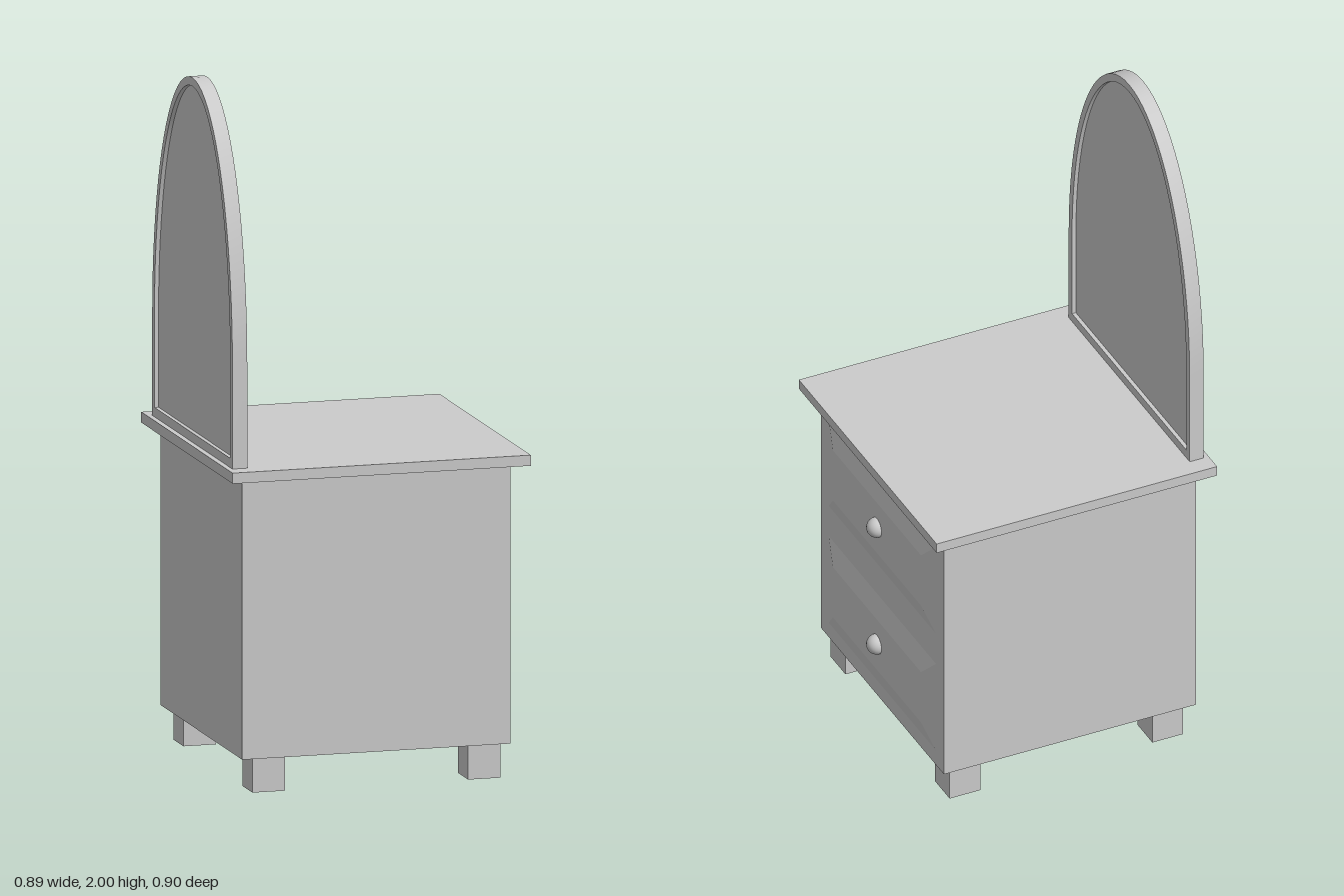
import * as THREE from 'three';
import { toCreasedNormals } from 'three/addons/utils/BufferGeometryUtils.js';

const material = new THREE.MeshStandardMaterial({ color: 0xcccccc });

function add(parent, name, geometry, x = 0, y = 0, z = 0) {
  const mesh = new THREE.Mesh(geometry, material);
  mesh.name = name;
  mesh.position.set(x, y, z);
  parent.add(mesh);
  return mesh;
}

// Box given by its lower and upper corners
function block(parent, name, [x0, y0, z0], [x1, y1, z1]) {
  return add(parent, name, new THREE.BoxGeometry(x1 - x0, y1 - y0, z1 - z0),
    (x0 + x1) / 2, (y0 + y1) / 2, (z0 + z1) / 2);
}

// Raised panel: a box whose +x face is drawn in to leave bevels all round
function panelGeometry(depth, height, width, inset) {
  const geometry = new THREE.BoxGeometry(depth, height, width);
  const p = geometry.attributes.position;
  for (let i = 0; i < p.count; i++) {
    if (p.getX(i) < 0) continue;
    p.setY(i, p.getY(i) - Math.sign(p.getY(i)) * inset);
    p.setZ(i, p.getZ(i) - Math.sign(p.getZ(i)) * inset);
  }
  const flat = geometry.toNonIndexed();
  flat.computeVertexNormals();
  return flat;
}

// Arch with straight sides and a half-elliptical top
function arch(path, halfWidth, bottom, spring, top) {
  path.moveTo(-halfWidth, bottom);
  path.lineTo(halfWidth, bottom);
  path.lineTo(halfWidth, spring);
  path.absellipse(0, spring, halfWidth, top - spring, 0, Math.PI, false);
  path.lineTo(-halfWidth, bottom);
  return path;
}

// Extrude a shape along x, centred on its thickness
function slab(shape, thickness) {
  const geometry = new THREE.ExtrudeGeometry(shape, { depth: thickness, bevelEnabled: false, curveSegments: 20 });
  geometry.translate(0, 0, -thickness / 2);
  geometry.rotateY(Math.PI / 2);
  return toCreasedNormals(geometry, 0.6);
}

export function createModel() {
  const model = new THREE.Group();
  model.name = 'dressingTable';

  // Cabinet and overhanging top
  block(model, 'cabinet', [-0.4, 0.1, -0.403], [0.395, 0.915, 0.403]);
  block(model, 'tableTop', [-0.443, 0.912, -0.451], [0.441, 0.943, 0.451]);

  // Four square feet
  for (const x of [-0.317, 0.322]) {
    for (const z of [-0.341, 0.341]) {
      add(model, 'foot', new THREE.BoxGeometry(0.097, 0.102, 0.097), x, 0.051, z);
    }
  }

  // Two drawers with round knobs
  for (const y of [0.705, 0.3]) {
    const drawer = new THREE.Group();
    drawer.name = 'drawer';
    add(drawer, 'drawerPanel', panelGeometry(0.018, 0.308, 0.71, 0.067), 0.403, y, 0);
    add(drawer, 'knob', new THREE.SphereGeometry(0.03, 24, 16), 0.413, y + 0.003, 0);
    model.add(drawer);
  }

  // Arched mirror: frame with a thinner glass recessed on both sides
  const mirror = new THREE.Group();
  mirror.name = 'mirror';
  const frame = arch(new THREE.Shape(), 0.396, 0.94, 1.24, 2);
  frame.holes.push(arch(new THREE.Path(), 0.374, 0.97, 1.24, 1.975));
  add(mirror, 'mirrorFrame', slab(frame, 0.044), -0.405);
  add(mirror, 'mirrorGlass', slab(arch(new THREE.Shape(), 0.376, 0.968, 1.24, 1.977), 0.02), -0.405);
  model.add(mirror);

  return model;
}
